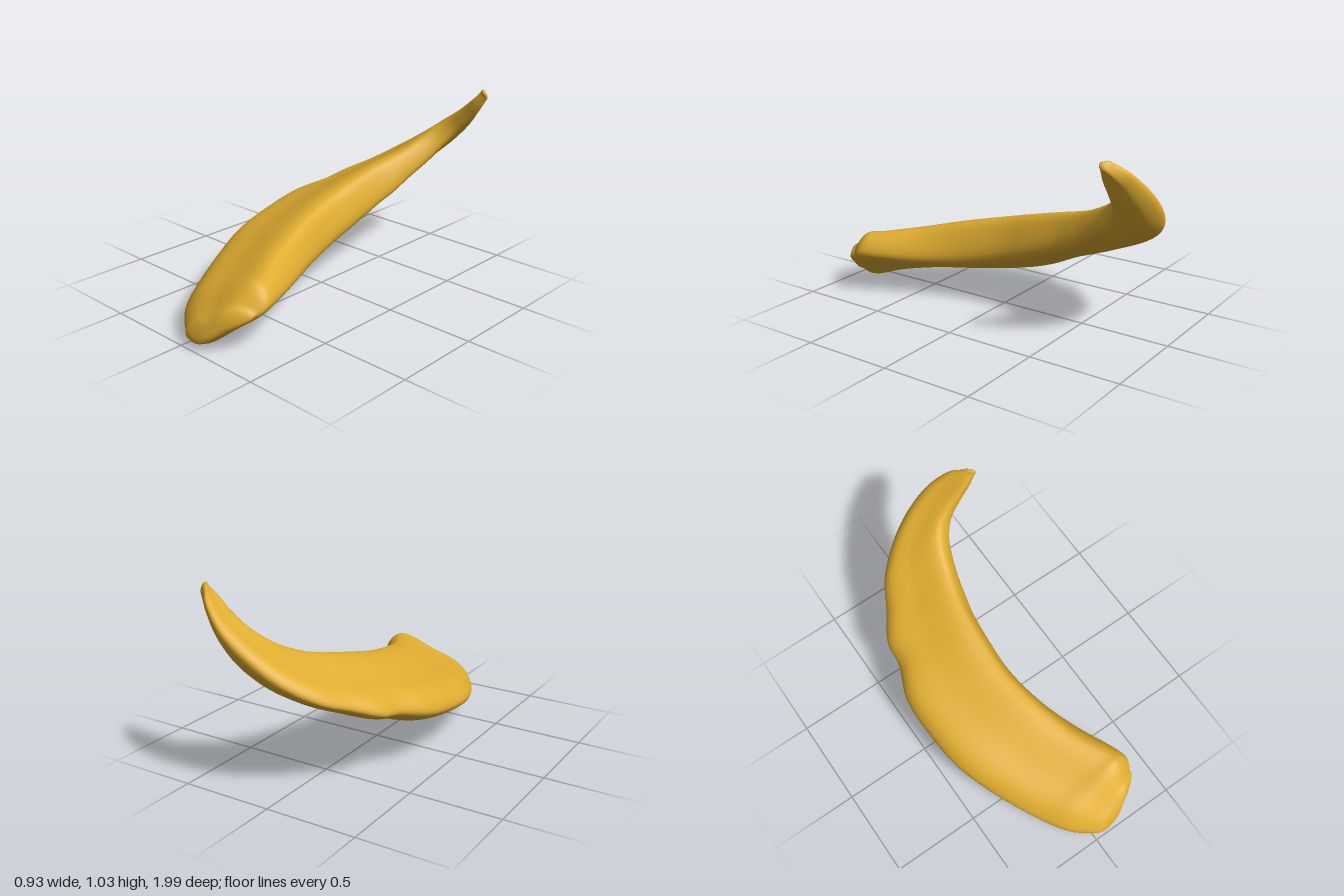
import * as THREE from 'three';

const STEPS = 96, SIDES = 48;
const v = (x, y, z) => new THREE.Vector3(x, y, z);
const curve = (pts) => new THREE.CatmullRomCurve3(pts.map((p) => v(...p)), false, 'catmullrom', 0.5);

// Four lengthwise ridges from the blunt front end to the pointed tip
const outer = curve([
  [0.0, 0.08, 0.965], [-0.125, 0.105, 0.865], [-0.235, 0.13, 0.70], [-0.345, 0.17, 0.48], [-0.43, 0.22, 0.25],
  [-0.46, 0.265, 0], [-0.455, 0.31, -0.21], [-0.385, 0.36, -0.39], [-0.365, 0.39, -0.53], [-0.275, 0.45, -0.67],
  [-0.19, 0.51, -0.81], [-0.06, 0.605, -0.92], [0.08, 0.72, -0.98], [0.23, 0.84, -0.995], [0.35, 0.95, -0.95], [0.415, 1.005, -0.885],
]);
const top = curve([
  [0.24, 0.245, 0.87], [0.265, 0.335, 0.77], [0.25, 0.35, 0.68], [0.15, 0.385, 0.48], [0.08, 0.44, 0.25],
  [0.03, 0.498, 0], [0.03, 0.55, -0.20], [0.04, 0.595, -0.37], [0.06, 0.625, -0.48], [0.09, 0.66, -0.58],
  [0.13, 0.72, -0.70], [0.17, 0.775, -0.77], [0.23, 0.825, -0.805], [0.315, 0.895, -0.82], [0.385, 0.96, -0.825], [0.435, 1.005, -0.835],
]);
const inner = curve([
  [0.345, 0.21, 0.815], [0.365, 0.235, 0.75], [0.325, 0.23, 0.64], [0.235, 0.225, 0.44], [0.15, 0.24, 0.22],
  [0.105, 0.285, 0], [0.10, 0.345, -0.20], [0.11, 0.41, -0.37], [0.13, 0.46, -0.48], [0.15, 0.52, -0.58],
  [0.185, 0.595, -0.69], [0.22, 0.665, -0.76], [0.275, 0.745, -0.81], [0.35, 0.83, -0.83], [0.415, 0.91, -0.835], [0.46, 0.985, -0.84],
]);
const under = curve([
  [0.10, 0.03, 0.965], [0.06, -0.002, 0.89], [0.0, 0.045, 0.72], [-0.08, 0.092, 0.47], [-0.13, 0.122, 0.25],
  [-0.15, 0.165, 0], [-0.15, 0.225, -0.21], [-0.13, 0.31, -0.39], [-0.10, 0.36, -0.51], [-0.06, 0.42, -0.64],
  [0.02, 0.495, -0.77], [0.09, 0.575, -0.88], [0.19, 0.675, -0.94], [0.29, 0.785, -0.95], [0.375, 0.895, -0.925], [0.45, 0.975, -0.875],
]);

// Rounded cross-section through the four ridges at t, with a thick outer rim
function section(t) {
  const [o, u, s, m] = [outer, top, inner, under].map((c) => c.getPoint(t));
  const mid = o.clone().add(u).add(s).add(m).multiplyScalar(0.25);
  const depth = o.clone().lerp(u, 0.5).sub(m);
  const between = (a, b, k, lift) => a.clone().lerp(b, k).addScaledVector(depth, lift);
  const shoulder = u.clone().lerp(s, 0.45);
  shoulder.addScaledVector(shoulder.clone().sub(mid), 0.13);
  const ring = [
    o, between(o, u, 0.13, 0.26), between(o, u, 0.5, 0.17), u,
    shoulder, s, between(s, m, 0.45, -0.1), m, between(o, m, 0.2, -0.18),
  ];
  const loop = new THREE.CatmullRomCurve3(ring, true, 'centripetal');
  return { mid, pts: Array.from({ length: SIDES }, (_, j) => loop.getPoint(j / SIDES)) };
}

// Shrinking rings that round off an end
function capRings(sec, push) {
  return [0.97, 0.88, 0.72, 0.48, 0.2].map((k) => sec.pts.map((p) =>
    sec.mid.clone().lerp(p, k).addScaledVector(push, Math.sqrt(1 - k * k))));
}

function hornGeometry() {
  const secs = Array.from({ length: STEPS + 1 }, (_, i) => section(i / STEPS));
  const frontPush = v(0.022, -0.005, 0.045), tipPush = v(0.013, 0.022, 0.012);
  const rings = [
    ...capRings(secs[0], frontPush).reverse(),
    ...secs.map((s) => s.pts),
    ...capRings(secs[STEPS], tipPush),
  ];
  const pos = [], idx = [];
  rings.forEach((r) => r.forEach((p) => pos.push(p.x, p.y, p.z)));
  const at = (i, j) => i * SIDES + (j % SIDES);
  for (let i = 0; i < rings.length - 1; i++) {
    for (let j = 0; j < SIDES; j++) {
      const a = at(i, j), b = at(i, j + 1), c = at(i + 1, j), d = at(i + 1, j + 1);
      idx.push(a, b, c, b, d, c);
    }
  }
  // End points
  const front = rings.length * SIDES, tip = front + 1, last = rings.length - 1;
  for (const p of [secs[0].mid.clone().add(frontPush), secs[STEPS].mid.clone().add(tipPush)]) pos.push(p.x, p.y, p.z);
  for (let j = 0; j < SIDES; j++) {
    idx.push(front, at(0, j + 1), at(0, j), tip, at(last, j), at(last, j + 1));
  }
  const g = new THREE.BufferGeometry();
  g.setAttribute('position', new THREE.Float32BufferAttribute(pos, 3));
  g.setIndex(idx);
  g.computeVertexNormals();
  return g;
}

export function createModel() {
  const group = new THREE.Group();
  group.name = 'curvedHorn';
  const golden = new THREE.MeshStandardMaterial({ color: 0xe0ad30 });
  golden.name = 'golden yellow';
  const body = new THREE.Mesh(hornGeometry(), golden);
  body.name = 'hornBody';
  group.add(body);
  return group;
}
